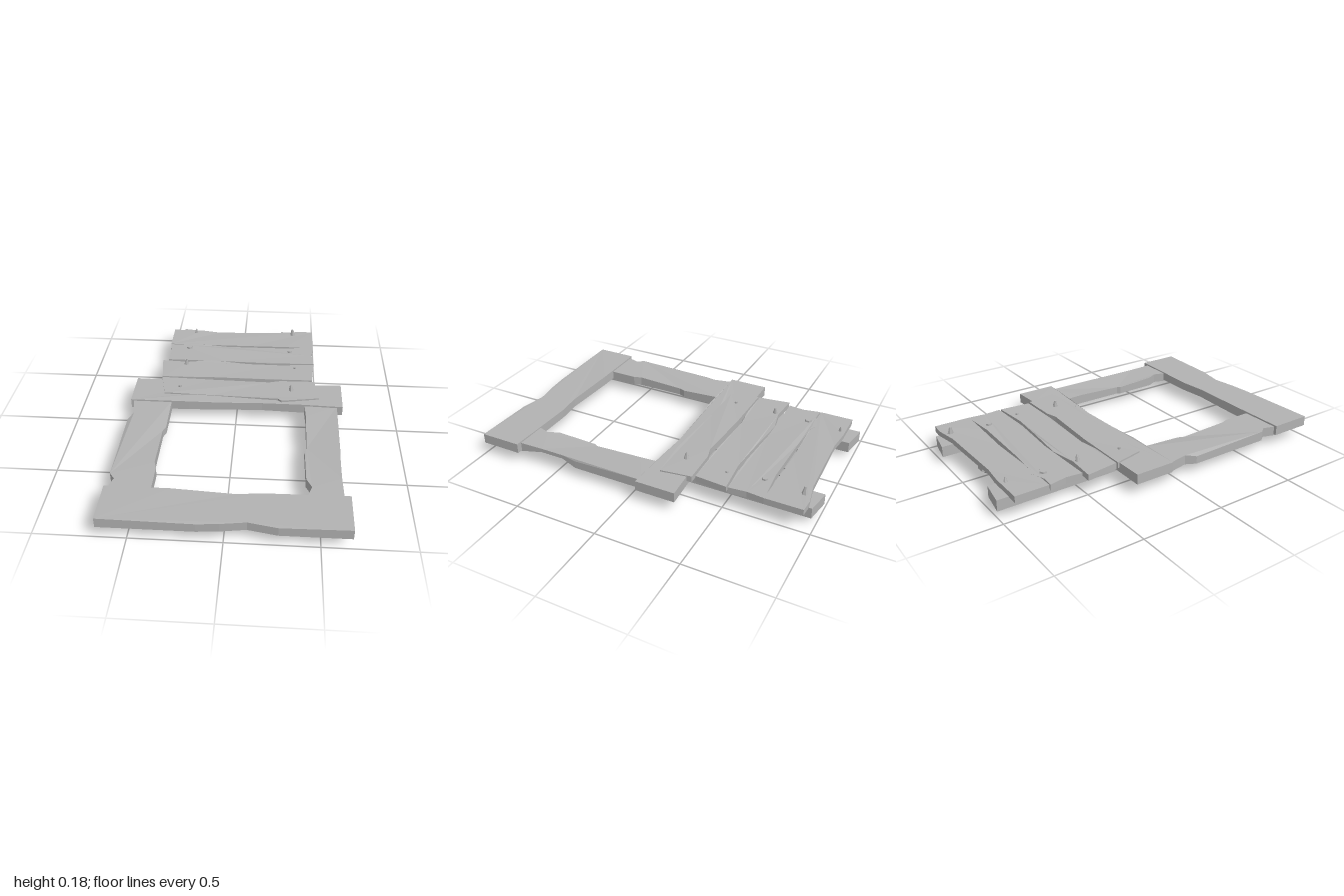
import * as THREE from 'three';

const wood = new THREE.MeshStandardMaterial({ color: 0xb2b2b2 });
wood.name = 'grey wood';
wood.flatShading = true;

function add(parent, name, geometry, x = 0, y = 0, z = 0) {
  const mesh = new THREE.Mesh(geometry, wood);
  mesh.name = name;
  mesh.position.set(x, y, z);
  parent.add(mesh);
  return mesh;
}

// Rough-hewn board: outline as [x, z] points, with optional rules for the lower and upper surface height
function board(parent, name, outline, y0, y1, low = () => 0, high = () => 0) {
  const shape = new THREE.Shape(outline.map(([x, z]) => new THREE.Vector2(x, -z)));
  const geo = new THREE.ExtrudeGeometry(shape, { depth: y1 - y0, bevelEnabled: false });
  geo.rotateX(-Math.PI / 2);
  const p = geo.attributes.position;
  for (let i = 0; i < p.count; i++) {
    const top = p.getY(i) > (y1 - y0) / 2;
    const x = p.getX(i), z = p.getZ(i);
    p.setY(i, top ? y1 + high(x, z) : y0 + low(x, z));
  }
  geo.computeVertexNormals();
  return add(parent, name, geo);
}

export function createModel() {
  const model = new THREE.Group();
  model.name = 'trapdoor';

  // Square frame
  const frame = new THREE.Group();
  frame.name = 'frame';
  model.add(frame);
  const sag = (x) => (Math.abs(x) < 0.3 ? -0.007 : 0);
  board(frame, 'frontBeam', [
    [-0.66, 0.75], [-0.3, 0.75], [0.05, 0.765], [0.2, 0.75], [0.66, 0.75],
    [0.66, 1], [0.28, 1], [0.12, 0.97], [-0.02, 0.99], [-0.14, 1], [-0.66, 1],
  ], 0.07, 0.13, undefined, sag);
  board(frame, 'backBeam', [
    [-0.66, -0.29], [-0.2, -0.29], [0.2, -0.27], [0.49, -0.28], [0.66, -0.29],
    [0.66, -0.05], [0.4, -0.06], [0.16, -0.07], [-0.1, -0.06], [-0.3, -0.05], [-0.66, -0.05],
  ], 0.07, 0.13, undefined, sag);
  const wave = (x, z) => (z > 0.1 && z < 0.4 ? -0.012 : 0);
  board(frame, 'rightBeam', [
    [-0.645, -0.06], [-0.405, -0.06], [-0.405, 0.19], [-0.42, 0.23], [-0.42, 0.53], [-0.405, 0.58],
    [-0.405, 0.76], [-0.645, 0.76], [-0.62, 0.68], [-0.65, 0.64], [-0.65, 0.13], [-0.62, 0.07],
  ], 0.062, 0.12, undefined, wave);
  board(frame, 'leftBeam', [
    [0.425, -0.07], [0.625, -0.07], [0.625, 0.37], [0.62, 0.46], [0.62, 0.6], [0.625, 0.76],
    [0.43, 0.76], [0.455, 0.68], [0.425, 0.62], [0.42, 0.36], [0.432, 0.34], [0.432, 0.05],
  ], 0.062, 0.12, (x, z) => (x > 0.6 && z > 0.4 && z < 0.7 ? 0.035 : 0), wave);

  // Door planks
  const door = new THREE.Group();
  door.name = 'door';
  model.add(door);
  const planks = [
    [[-0.5, -0.93], [-0.3, -0.93], [-0.17, -0.915], [0.27, -0.93], [0.41, -0.955], [0.49, -0.95],
      [0.49, -0.73], [0.3, -0.735], [0.05, -0.74], [-0.3, -0.73], [-0.5, -0.73]],
    [[-0.5, -0.725], [-0.43, -0.72], [-0.33, -0.76], [-0.28, -0.735], [-0.1, -0.72], [0.27, -0.715],
      [0.49, -0.735], [0.48, -0.63], [0.49, -0.525], [0.2, -0.515], [-0.1, -0.53], [-0.49, -0.525], [-0.48, -0.62]],
    [[-0.525, -0.51], [-0.35, -0.5], [-0.2, -0.53], [0.05, -0.505], [0.27, -0.495], [0.49, -0.515],
      [0.475, -0.325], [0.2, -0.32], [-0.17, -0.33], [-0.3, -0.315], [-0.5, -0.315]],
    [[-0.5, -0.305], [-0.16, -0.3], [0.2, -0.285], [0.27, -0.305], [0.49, -0.31], [0.515, -0.125],
      [0.28, -0.085], [0.26, -0.105], [-0.16, -0.125], [-0.46, -0.13]],
  ];
  planks.forEach((outline, i) =>
    board(door, `plank${i + 1}`, outline, 0.1, 0.137, undefined, (x) => (Math.abs(x) < 0.2 ? -0.005 : 0)));

  // Battens under the planks
  board(door, 'rightBatten', [[-0.435, -1], [-0.28, -0.975], [-0.28, -0.11], [-0.43, -0.1]], 0.04, 0.105);
  board(door, 'leftBatten', [[0.27, -1], [0.42, -0.975], [0.42, -0.1], [0.27, -0.11]], 0.04, 0.105);

  // Bent nails: x, z, radius, top height
  const nails = [
    [-0.34, -0.9, 0.014, 0.165], [0.35, -0.91, 0.022, 0.178], [-0.365, -0.69, 0.024, 0.147], [0.33, -0.675, 0.019, 0.147],
    [-0.36, -0.475, 0.018, 0.176], [0.365, -0.465, 0.011, 0.147], [-0.37, -0.205, 0.012, 0.147], [0.34, -0.205, 0.02, 0.176],
  ];
  for (const [x, z, r, top] of nails) {
    const tall = top > 0.15;
    const h = top - 0.125;
    const head = add(door, 'nailHead', new THREE.CylinderGeometry(tall ? r * 0.3 : r * 0.9, r, h, 6), x, 0.125 + h / 2, z);
    if (tall) head.rotation.z = x > 0 ? 0.12 : -0.12;
    const tip = add(door, 'nailTip', new THREE.ConeGeometry(r, 0.02, 5), x, 0.031, z);
    tip.rotation.x = Math.PI;
  }

  // Ring pull and its pointed stud on the underside
  const ring = new THREE.TorusGeometry(0.145, 0.022, 5, 11);
  ring.rotateX(Math.PI / 2);
  add(door, 'ringPull', ring, 0, 0.066, -0.69).scale.y = 0.8;
  const stud = add(door, 'stud', new THREE.ConeGeometry(0.058, 0.045, 7), 0, 0.0225, -0.84);
  stud.rotation.x = Math.PI;
  add(door, 'studShank', new THREE.CylinderGeometry(0.05, 0.058, 0.06, 7), 0, 0.075, -0.84);

  return model;
}
